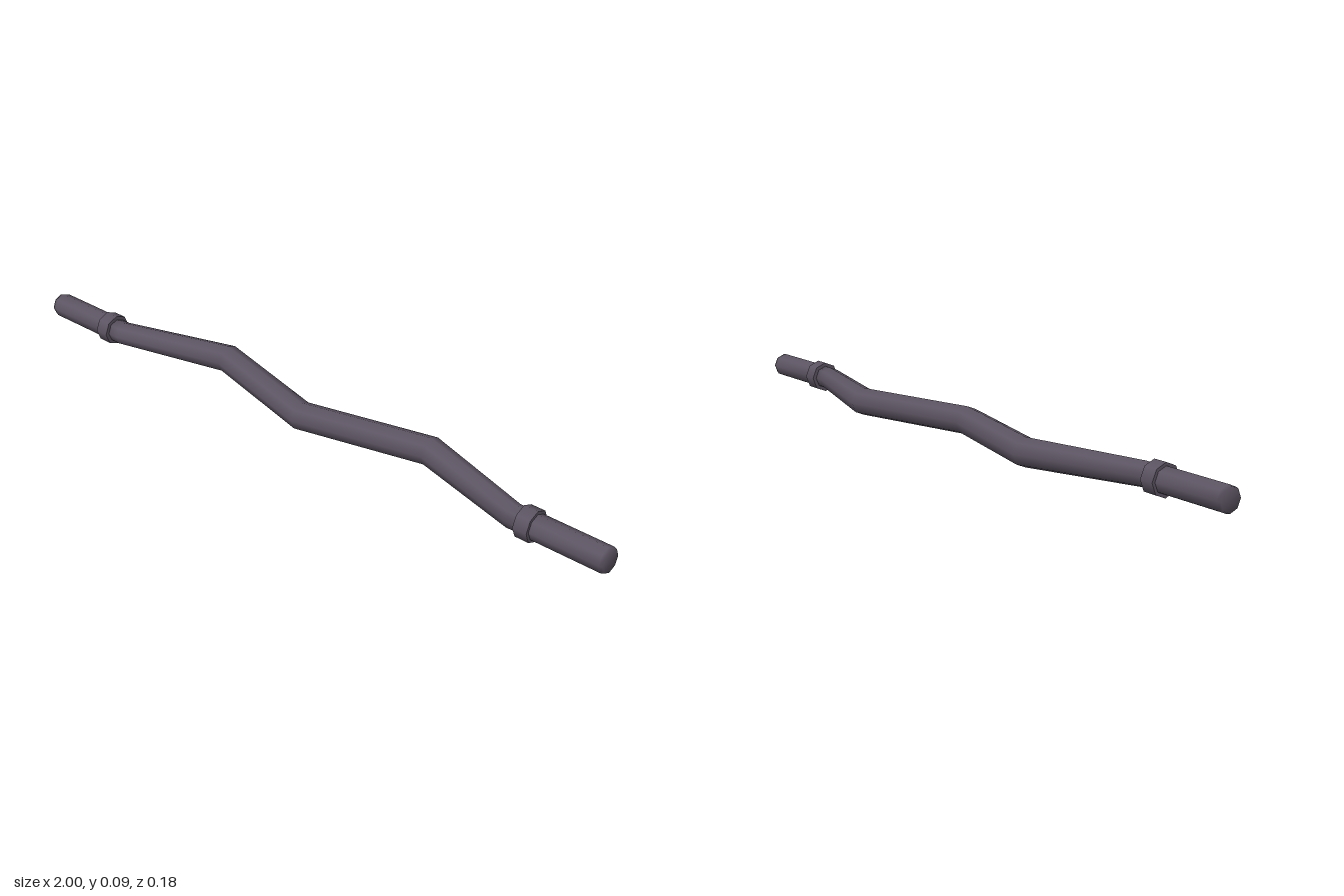
import * as THREE from 'three';

const SIDES = 8;
const AXIS_Y = 0.045;

// Capped octagonal bar through stations [x, z, radius], mitred at each bend.
function loft(stations) {
  const pos = [], idx = [], n = stations.length;
  const dir = (a, b) => new THREE.Vector2(b[0] - a[0], b[1] - a[1]).normalize();
  stations.forEach(([x, z, r], i) => {
    const before = dir(stations[Math.max(i - 1, 0)], stations[Math.max(i, 1)]);
    const after = dir(stations[Math.min(i, n - 2)], stations[Math.min(i + 1, n - 1)]);
    const t = before.clone().add(after).normalize();
    const wide = r / t.dot(after);
    for (let k = 0; k < SIDES; k++) {
      const a = (k / SIDES) * Math.PI * 2;
      const s = Math.sin(a) * wide;
      pos.push(x - t.y * s, AXIS_Y + Math.cos(a) * r, z + t.x * s);
    }
  });
  for (let i = 0; i < n - 1; i++) {
    for (let k = 0; k < SIDES; k++) {
      const a = i * SIDES + k, b = i * SIDES + ((k + 1) % SIDES);
      idx.push(a, b, a + SIDES, b, b + SIDES, a + SIDES);
    }
  }
  // End caps share the rim vertices, giving softly shaded ends
  const first = stations[0], last = stations[n - 1];
  pos.push(first[0], AXIS_Y, first[1], last[0], AXIS_Y, last[1]);
  const c0 = n * SIDES, c1 = c0 + 1, rim = (n - 1) * SIDES;
  for (let k = 0; k < SIDES; k++) {
    const j = (k + 1) % SIDES;
    idx.push(c0, j, k, c1, rim + k, rim + j);
  }
  const g = new THREE.BufferGeometry();
  g.setAttribute('position', new THREE.Float32BufferAttribute(pos, 3));
  g.setIndex(idx);
  g.computeVertexNormals();
  return g;
}

export function createModel() {
  const group = new THREE.Group();
  const steel = new THREE.MeshStandardMaterial({ color: 0x5c5462 });
  steel.name = 'dark steel';
  const add = (name, geometry) => {
    const mesh = new THREE.Mesh(geometry, steel);
    mesh.name = name;
    group.add(mesh);
    return mesh;
  };

  // Zigzag grip, slimmer towards the collars
  const endZ = 0.047;
  const half = [[0.375, -0.051, 0.04], [0.715, endZ, 0.034], [0.75, endZ, 0.034]];
  const mirrored = half.map(([x, z, r]) => [-x, z, r]).reverse();
  add('bentGrip', loft([...mirrored, [0, 0.044, 0.04], ...half]));

  for (const [side, s] of [['left', 1], ['right', -1]]) {
    // Collar
    const collar = add(side + 'Collar', new THREE.CylinderGeometry(0.045, 0.045, 0.042, SIDES));
    collar.rotation.z = Math.PI / 2;
    collar.position.set(s * 0.766, AXIS_Y, endZ);

    // Sleeve with a bevelled outer end
    const sleeve = [[0.77, endZ, 0.036], [0.99, endZ, 0.036], [1, endZ, 0.033]];
    const path = sleeve.map(([x, z, r]) => [s * x, z, r]);
    add(side + 'Sleeve', loft(s > 0 ? path : path.reverse()));
  }
  return group;
}
